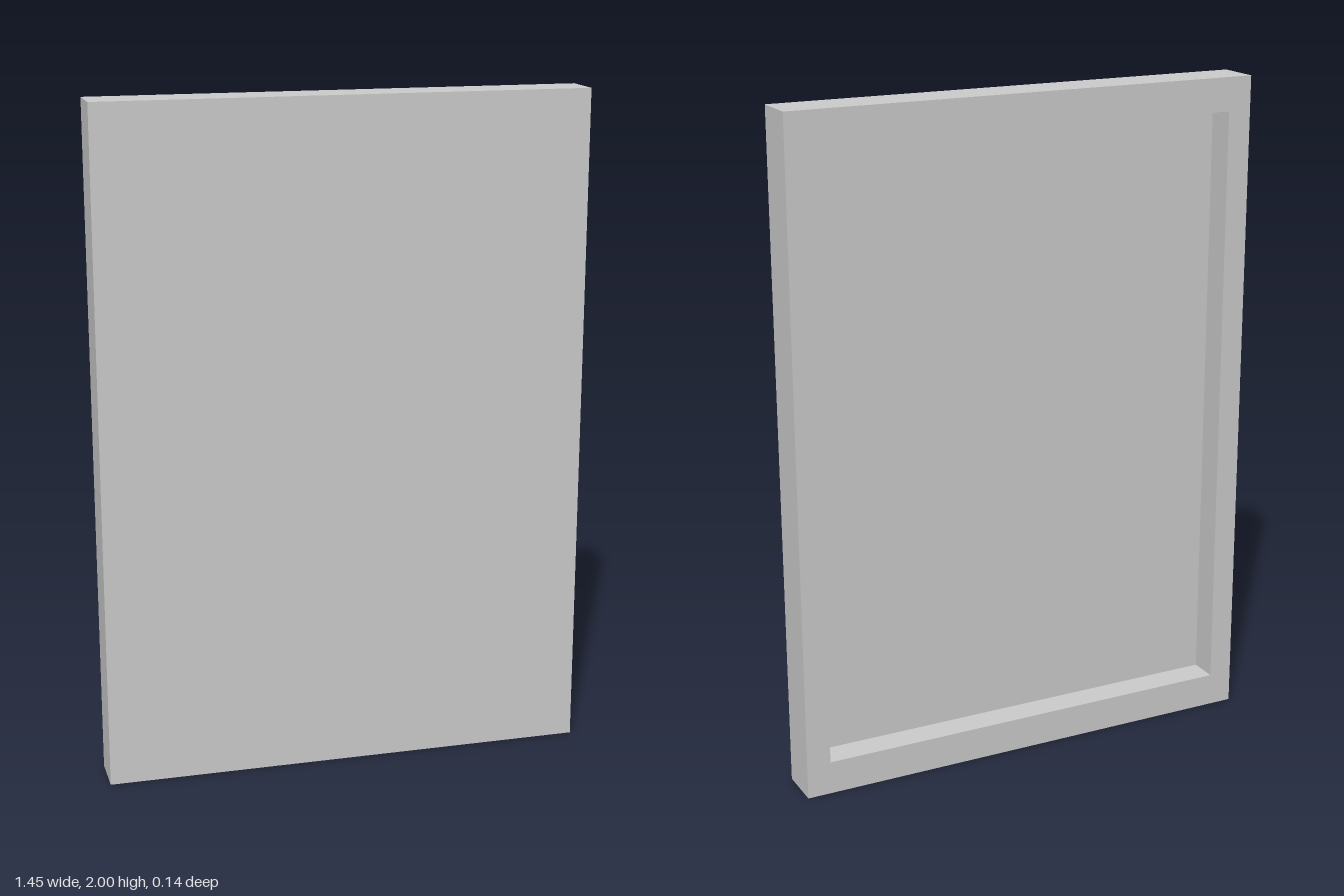
import * as THREE from 'three';

const WIDTH = 1.446, HEIGHT = 2, DEPTH = 0.135;
const INSET = 0.9;     // opening size relative to the outer size
const RECESS = 0.088;  // depth of the hollow in the back

// Four corners of a rectangle, counter-clockwise seen from +z
function ring(scale, z) {
  const w = WIDTH / 2 * scale, h = HEIGHT / 2 * scale;
  return [[-w, -h, z], [w, -h, z], [w, h, z], [-w, h, z]];
}

// One closed shell: front face, outer sides, back rim, hollow walls, hollow floor
function recessedPanelGeometry() {
  const rings = [
    ring(1, DEPTH / 2),
    ring(1, -DEPTH / 2),
    ring(INSET, -DEPTH / 2),
    ring(INSET, -DEPTH / 2 + RECESS),
  ];
  const positions = [];
  const quad = (a, b, c, d) => positions.push(...a, ...b, ...c, ...a, ...c, ...d);

  quad(...rings[0]);
  for (let r = 0; r < rings.length - 1; r++) {
    for (let i = 0; i < 4; i++) {
      const j = (i + 1) % 4;
      quad(rings[r][i], rings[r + 1][i], rings[r + 1][j], rings[r][j]);
    }
  }
  quad(...[...rings[3]].reverse());

  const geometry = new THREE.BufferGeometry();
  geometry.setAttribute('position', new THREE.Float32BufferAttribute(positions, 3));
  geometry.computeVertexNormals();
  return geometry;
}

export function createModel() {
  const group = new THREE.Group();
  group.name = 'framedPanel';
  const material = new THREE.MeshStandardMaterial({ color: 0xcccccc, flatShading: true });

  // Flat front with a raised rim around the hollow back
  const panel = new THREE.Mesh(recessedPanelGeometry(), material);
  panel.name = 'recessedPanel';
  panel.position.y = HEIGHT / 2;
  group.add(panel);
  return group;
}
